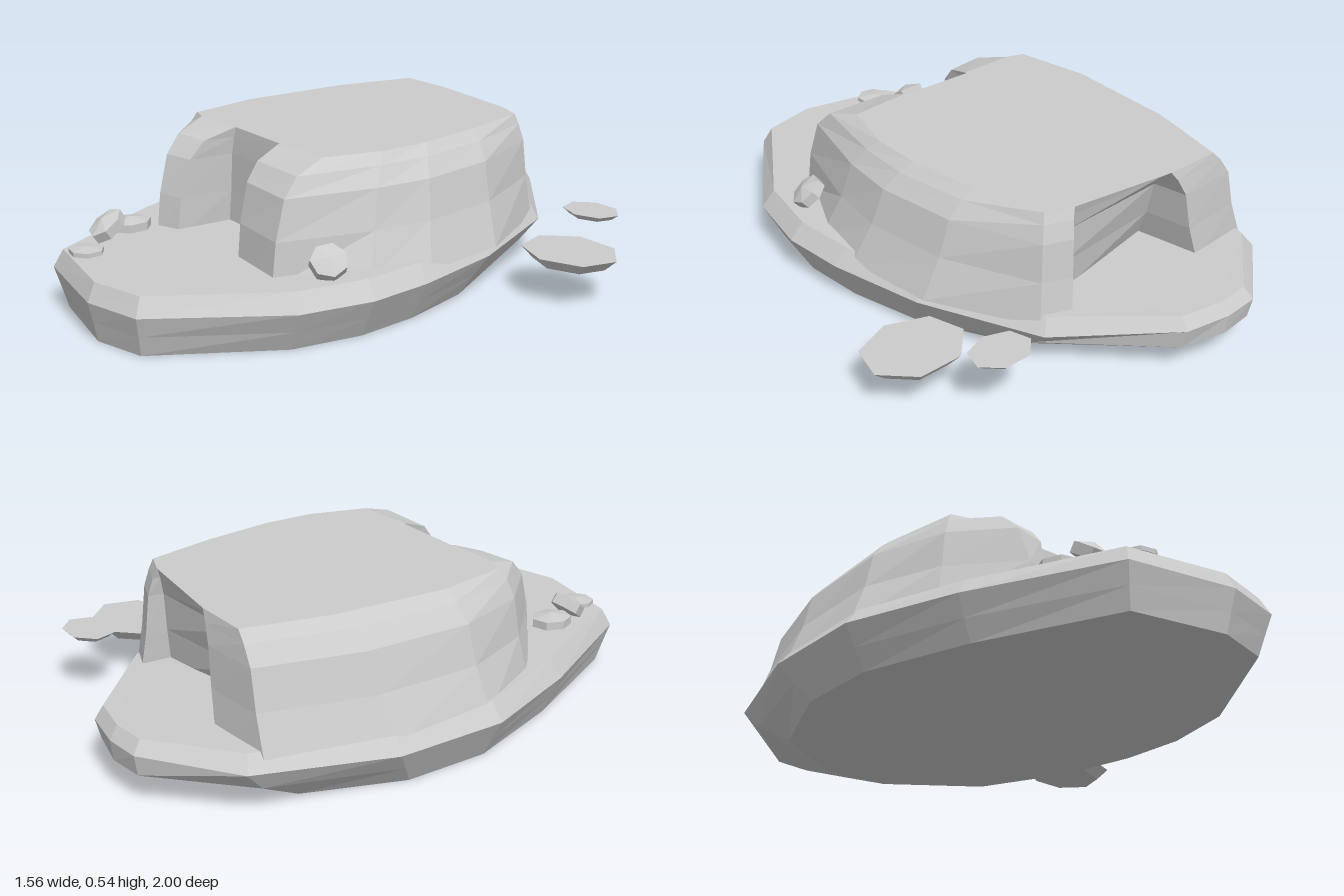
import * as THREE from 'three';

const material = new THREE.MeshStandardMaterial({ color: 0xcccccc, flatShading: true });

// Joins rings of [x, y, z] corners (bottom to top), optionally capping both ends.
function loft(rings, capBottom, capTop) {
  const n = rings[0].length;
  const index = [];
  for (let r = 0; r < rings.length - 1; r++) {
    for (let i = 0; i < n; i++) {
      const a = r * n + i, b = r * n + (i + 1) % n;
      index.push(a, b, b + n, a, b + n, a + n);
    }
  }
  const cap = (r, up) => {
    const outline = rings[r].map(([x, , z]) => new THREE.Vector2(x, -z));
    for (const [a, b, c] of THREE.ShapeUtils.triangulateShape(outline, [])) {
      const [p, q, s] = [outline[a], outline[b], outline[c]];
      const ccw = (q.x - p.x) * (s.y - p.y) - (q.y - p.y) * (s.x - p.x) > 0;
      if (ccw === up) index.push(r * n + a, r * n + b, r * n + c);
      else index.push(r * n + a, r * n + c, r * n + b);
    }
  };
  if (capBottom) cap(0, false);
  if (capTop) cap(rings.length - 1, true);
  const g = new THREE.BufferGeometry();
  g.setAttribute('position', new THREE.Float32BufferAttribute(rings.flat(2), 3));
  g.setIndex(index);
  const flat = g.toNonIndexed();
  flat.computeVertexNormals();
  return flat;
}

function addMesh(group, name, geometry) {
  const mesh = new THREE.Mesh(geometry, material);
  mesh.name = name;
  group.add(mesh);
  return mesh;
}

// Widest outline of the slab, anticlockwise from above: [x, z]
const rim = [
  [-0.04, 0.995], [0.17, 0.95], [0.45, 0.55], [0.505, 0.3], [0.49, 0.07],
  [0.42, -0.27], [0.25, -0.68], [-0.08, -0.97], [-0.24, -1], [-0.37, -0.99],
  [-0.64, -0.77], [-0.78, -0.32], [-0.78, 0.07], [-0.64, 0.45], [-0.4, 0.92],
];

// Upper block, anticlockwise from above: [base x, base z, roof x, roof z]
const block = [
  [0.04, 0.49, 0.0, 0.292], [0.27, 0.52, 0.22, 0.28], [0.41, 0.24, 0.28, 0.08],
  [0.455, 0.02, 0.285, -0.1], [0.42, -0.3, 0.25, -0.35], [0.24, -0.65, 0.19, -0.6],
  [0.14, -0.69, 0.1, -0.635],
  // back recess
  [0.13, -0.58, 0.095, -0.636], [-0.36, -0.49, -0.275, -0.689],
  [-0.4, -0.73, -0.28, -0.69], [-0.64, -0.71, -0.48, -0.69], [-0.755, -0.3, -0.55, -0.4],
  [-0.75, 0.05, -0.575, 0.0], [-0.62, 0.32, -0.53, 0.26], [-0.4, 0.52, -0.47, 0.28],
  [-0.32, 0.49, -0.27, 0.282],
  // front alcove
  [-0.3, 0.29, -0.268, 0.275], [0.025, 0.3, -0.002, 0.285],
];

// Wall levels: [height, inward lean of the sides, inward lean of the front]
const levels = [
  [0.165, 0, 0], [0.31, 0.33, 0.08], [0.44, 0.52, 0.25], [0.5, 0.78, 0.5], [0.535, 1, 1],
];

export function createModel() {
  const model = new THREE.Group();
  model.name = 'rockIsland';

  // Slab: narrow underside rising to a blunt lip at the back, wide rim, inset deck
  const back = z => Math.max(0, (-z - 0.6) / 0.4);
  const inset = (x, s) => -0.13 + (x + 0.13) * s;
  const slab = [
    rim.map(([x, z]) => [inset(x, 0.88), 0, z * (z > 0 ? 0.965 : 0.72)]),
    rim.map(([x, z]) => [
      inset(x, 0.94 + 0.04 * back(z)), 0.07 + 0.03 * back(z),
      z * (z > 0 ? 0.982 : 0.86 + 0.13 * back(z)),
    ]),
    rim.map(([x, z]) => [x, 0.14 + 0.03 * back(z), z]),
    rim.map(([x, z]) => [inset(x, 0.93), 0.2 + 0.01 * back(z), z * 0.97]),
  ];
  addMesh(model, 'slab', loft(slab, true, true));

  // Upper block: rounded shoulders, recesses at the front and back
  const walls = levels.map(([y, side, front]) => block.map(([bx, bz, tx, tz]) => {
    const t = bz > 0.4 ? front : side;
    return [bx + (tx - bx) * t, y, bz + (tz - bz) * t];
  }));
  addMesh(model, 'upperBlock', loft(walls, false, true));

  // Floating seven-sided stepping discs
  const discs = [
    [0.6, 0.145, -0.47, 0.18, 0.04, 0.145],
    [0.467, 0.215, -0.715, 0.11, 0.02, 0.085],
  ];
  discs.forEach(([x, y, z, rx, h, rz], i) => {
    const disc = addMesh(model, `steppingDisc${i + 1}`, new THREE.CylinderGeometry(1, 0.75, 1, 7));
    disc.position.set(x, y, z);
    disc.scale.set(rx, h, rz);
  });

  // Pebbles on the deck: position, radii, tilt about x and z
  const pebbles = [
    [-0.4, 0.228, 0.625, 0.073, 0.028, 0.085, 0, 0],
    [-0.37, 0.25, 0.73, 0.06, 0.036, 0.076, 0.6, 0],
    [-0.29, 0.212, 0.855, 0.07, 0.015, 0.066, 0, 0],
    [0.37, 0.247, 0.375, 0.07, 0.034, 0.072, 0.4, -0.65],
  ];
  pebbles.forEach(([x, y, z, rx, ry, rz, tiltX, tiltZ], i) => {
    const pebble = addMesh(model, `pebble${i + 1}`, new THREE.SphereGeometry(1, 7, 3));
    pebble.position.set(x, y, z);
    pebble.scale.set(rx, ry, rz);
    pebble.rotation.set(tiltX, 0, tiltZ);
  });

  return model;
}
